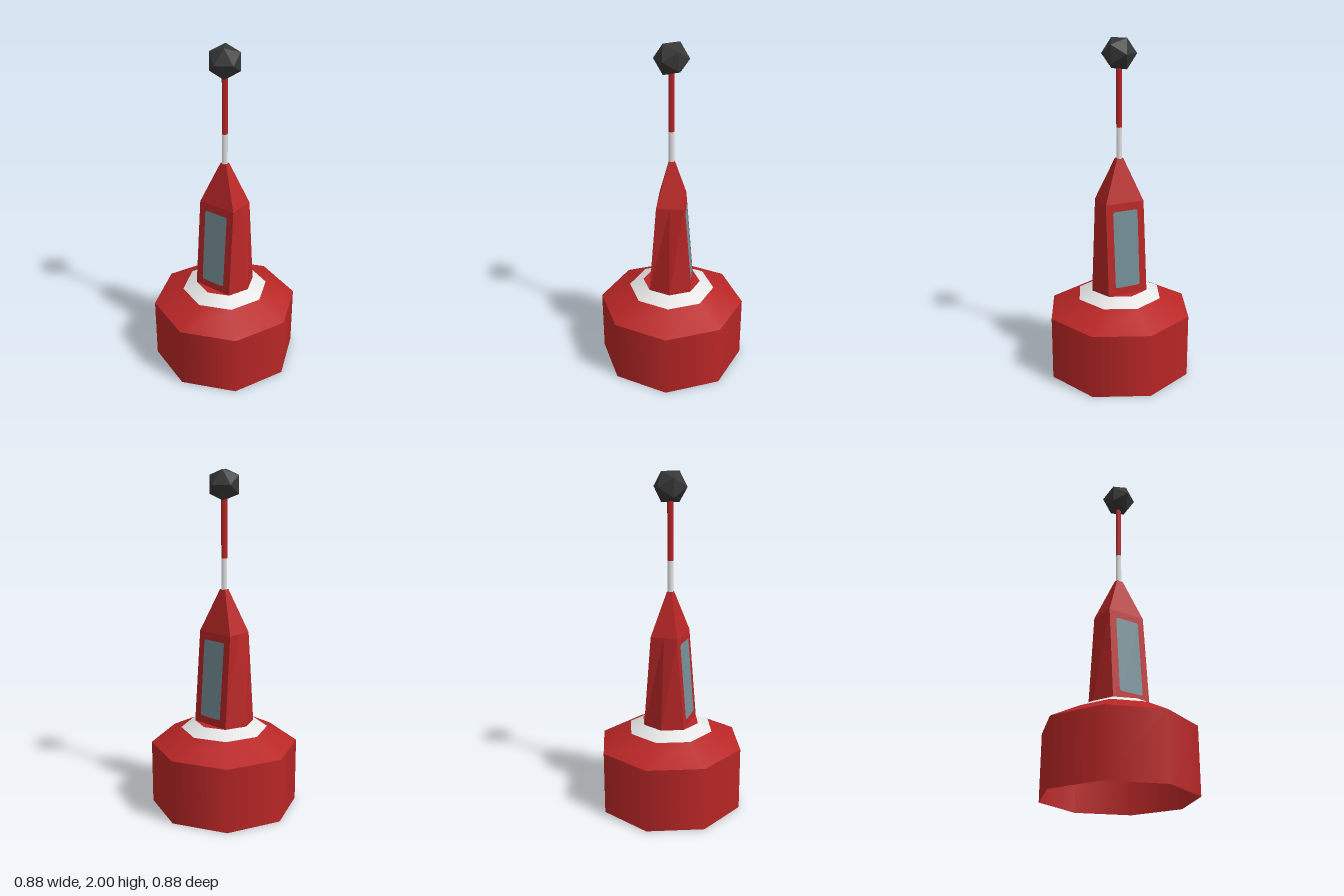
import * as THREE from 'three';

const mat = (name, color) => Object.assign(new THREE.MeshStandardMaterial({ color }), { name });

export function createModel() {
  const red = mat('buoy red', 0xb92626);
  const white = mat('band white', 0xe6e6e6);
  const glass = mat('panel blue grey', 0x758f97);
  const black = mat('topmark black', 0x373737);
  const redShell = mat('buoy red shell', 0xb92626);
  const whiteShell = mat('band white shell', 0xe6e6e6);
  redShell.side = whiteShell.side = THREE.DoubleSide;

  const group = new THREE.Group();
  const add = (name, geometry, material) => {
    const mesh = new THREE.Mesh(geometry, material);
    mesh.name = name;
    group.add(mesh);
    return mesh;
  };
  const ringWall = (name, rBottom, rTop, y0, y1, sides, material) => {
    const g = new THREE.CylinderGeometry(rTop, rBottom, y1 - y0, sides, 1, true);
    if (sides === 6) g.rotateY(Math.PI / 6); // corners on the x axis
    return add(name, g.translate(0, (y0 + y1) / 2, 0), material);
  };

  // Octagonal float, open underneath
  ringWall('floatWall', 0.44, 0.44, 0, 0.385, 8, redShell);
  ringWall('floatShoulder', 0.44, 0.26, 0.385, 0.477, 8, redShell);
  ringWall('floatBand', 0.26, 0.175, 0.477, 0.52, 8, whiteShell);
  add('floatTop', new THREE.CircleGeometry(0.175, 8).rotateX(-Math.PI / 2).translate(0, 0.52, 0), redShell);

  // Tower: six-cornered sections joined by flat faces
  const sections = [
    { y: 0.52, mid: 0.175, x: 0.124, z: 0.124 },
    { y: 1.07, mid: 0.12, x: 0.12, z: 0.08 },
    { y: 1.32, mid: 0.02, x: 0.02, z: 0.015 },
  ].map(({ y, mid, x, z }) =>
    [[mid, 0], [x, z], [-x, z], [-mid, 0], [-x, -z], [x, -z]].map(([px, pz]) => [px, y, pz]));
  const pos = [];
  for (let s = 0; s < 2; s++) {
    for (let i = 0; i < 6; i++) {
      const j = (i + 1) % 6;
      const a = sections[s][i], b = sections[s][j], c = sections[s + 1][j], d = sections[s + 1][i];
      pos.push(...a, ...d, ...b, ...b, ...d, ...c);
    }
  }
  const top = sections[2];
  for (let i = 1; i < 5; i++) pos.push(...top[0], ...top[i + 1], ...top[i]);
  const tower = new THREE.BufferGeometry();
  tower.setAttribute('position', new THREE.Float32BufferAttribute(pos, 3));
  tower.computeVertexNormals();
  add('tower', tower, red);

  // Rounded panels lying on the sloping front and back
  const w = 0.078, y0 = 0.565, y1 = 1.025, r = 0.015;
  const outline = new THREE.Shape();
  outline.moveTo(-w + r, y0).lineTo(w - r, y0);
  outline.quadraticCurveTo(w, y0, w, y0 + r).lineTo(w, y1 - r);
  outline.quadraticCurveTo(w, y1, w - r, y1).lineTo(-w + r, y1);
  outline.quadraticCurveTo(-w, y1, -w, y1 - r).lineTo(-w, y0 + r);
  outline.quadraticCurveTo(-w, y0, -w + r, y0);
  const panel = new THREE.ShapeGeometry(outline, 4);
  const p = panel.attributes.position;
  for (let i = 0; i < p.count; i++) p.setZ(i, 0.127 - (p.getY(i) - 0.52) * 0.08);
  panel.computeVertexNormals();
  add('frontPanel', panel, glass);
  add('backPanel', panel, glass).rotation.y = Math.PI;

  // Mast in two colours
  ringWall('lowerMast', 0.018, 0.018, 1.3, 1.5, 6, white);
  ringWall('upperMast', 0.018, 0.018, 1.5, 1.85, 6, red);

  // Faceted ball, turned so one corner points to the front
  const ball = new THREE.IcosahedronGeometry(0.1, 0);
  ball.rotateX(Math.atan(2 / (1 + Math.sqrt(5)))).rotateZ(Math.PI / 2);
  add('topmarkBall', ball.translate(0, 1.915, 0), black);

  return group;
}
